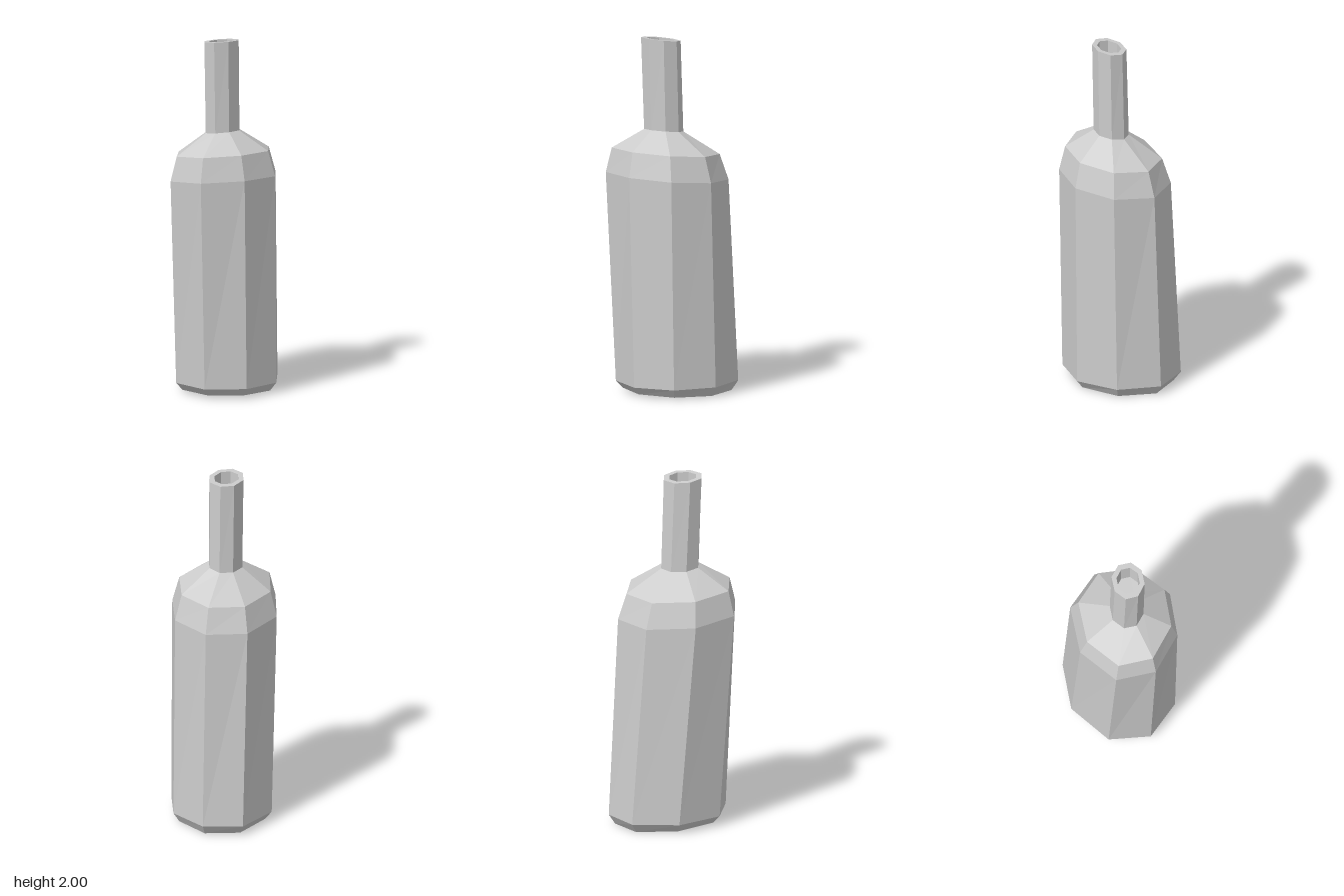
import * as THREE from 'three';

const SIDES = 8;

// One slightly skewed, tilted octagonal cross-section.
// y, cz: centre; rx, rz: radii; ax, az: tilt of the plane; lean: height that sets the skew
function ring({ y, cz, rx, rz, ax = 0, az = 0, lean = y }) {
  const skew = 0.08 - 0.115 * lean;
  return Array.from({ length: SIDES }, (_, i) => {
    const t = (i / SIDES) * Math.PI * 2;
    const x = rx * Math.sin(t), z = rz * Math.cos(t);
    return [x, y + ax * x + az * z, cz + z + x * (skew - 0.27 * z)];
  });
}

// Flat-shaded skin through a list of rings, with optional end caps
function loft(name, sections, material, capStart, capEnd) {
  const rings = sections.map(ring);
  const positions = rings.flat(2);
  const index = [];
  for (let r = 0; r < rings.length - 1; r++) {
    for (let i = 0; i < SIDES; i++) {
      const j = (i + 1) % SIDES;
      const a = r * SIDES + i, b = r * SIDES + j;
      index.push(a, b, b + SIDES, a, b + SIDES, a + SIDES);
    }
  }
  const last = (rings.length - 1) * SIDES;
  for (let i = 1; i < SIDES - 1; i++) {
    if (capStart) index.push(0, i + 1, i);
    if (capEnd) index.push(last, last + i, last + i + 1);
  }
  const indexed = new THREE.BufferGeometry();
  indexed.setAttribute('position', new THREE.Float32BufferAttribute(positions, 3));
  indexed.setIndex(index);
  const geometry = indexed.toNonIndexed();
  geometry.computeVertexNormals();
  const mesh = new THREE.Mesh(geometry, material);
  mesh.name = name;
  return mesh;
}

export function createModel() {
  const group = new THREE.Group();
  group.name = 'bottle';
  const material = new THREE.MeshStandardMaterial({ color: 0xcccccc, flatShading: true });

  const neckBase = { y: 1.472, cz: 0.045, rx: 0.095, rz: 0.109, ax: 0.1, az: 0.07 };

  // Bevelled base, leaning body and two-step shoulder
  group.add(loft('body', [
    { y: 0.008, cz: -0.03, rx: 0.262, rz: 0.302, az: 0.025 },
    { y: 0.056, cz: -0.029, rx: 0.3, rz: 0.34 },
    { y: 1.214, cz: 0.026, rx: 0.299, rz: 0.341, ax: 0.06, az: 0.065 },
    { y: 1.355, cz: 0.034, rx: 0.26, rz: 0.3, ax: 0.07, az: 0.065 },
    neckBase,
  ], material, true, false));

  // Neck, flat lip and recessed mouth
  const lip = { cz: 0.061, ax: 0.07, az: 0.09, lean: 2 };
  group.add(loft('neck', [
    neckBase,
    { ...lip, y: 1.988, rx: 0.095, rz: 0.11 },
    { ...lip, y: 1.988, rx: 0.067, rz: 0.078 },
    { ...lip, y: 1.84, rx: 0.067, rz: 0.078 },
  ], material, false, true));

  return group;
}
